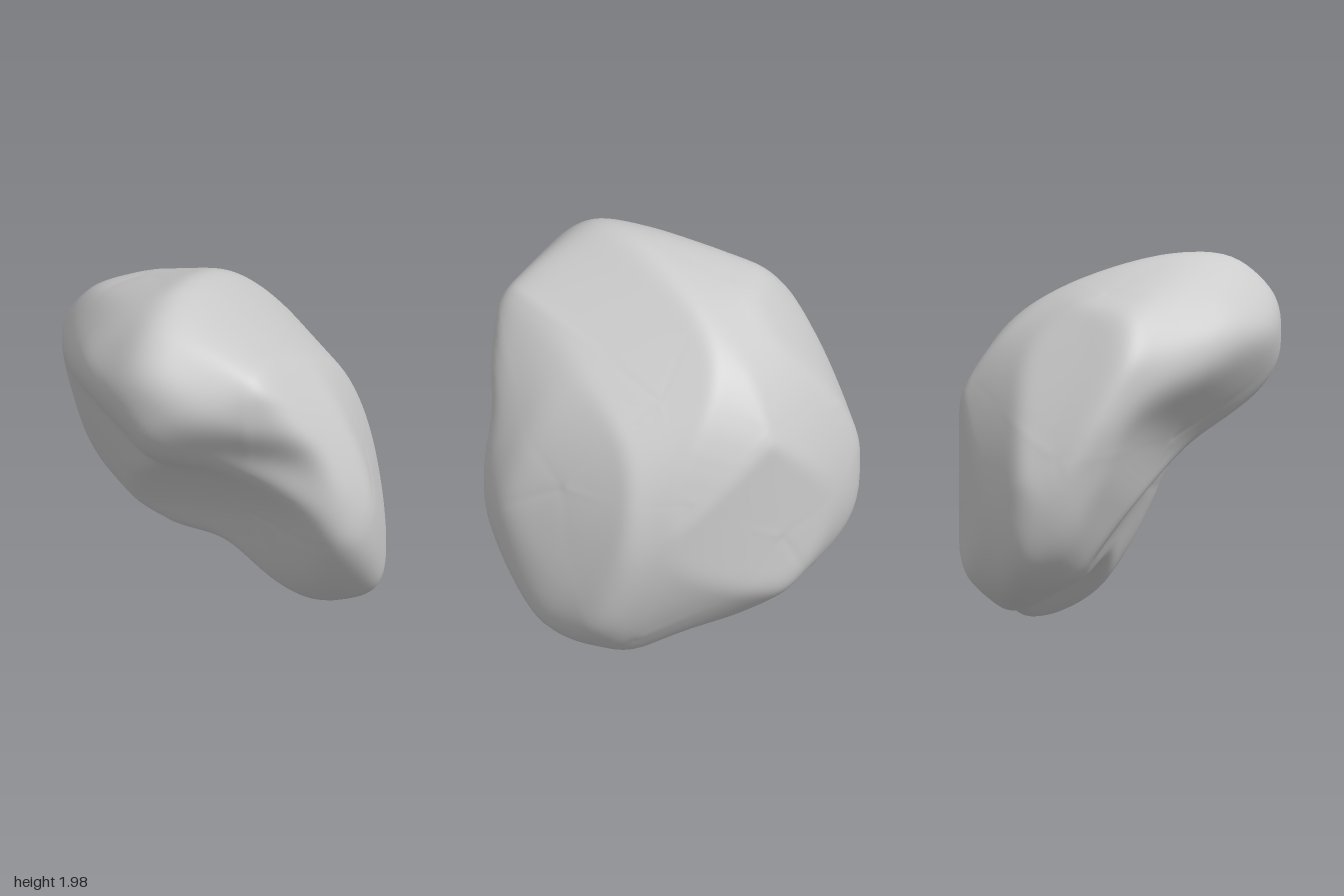
import * as THREE from 'three';
import { mergeVertices } from 'three/addons/utils/BufferGeometryUtils.js';

// A few (across, up) knots per outline of the stone, and the turn about y
// and tilt, in degrees, of the plane each outline lies in.
const OUTLINES = [
  { turn: 0, tilt: 0, knots: [-.3, 1, .15, .81, .55, .4, .78, -.2, .8, -.8, .5, -1, -.12, -.83,
    -.62, -.52, -.79, -.05, -.83, .57] },
  { turn: 90, tilt: 0, knots: [-.55, 1, 0, .95, .6, .57, .88, -.1, .84, -.6, .6, -.84, 0, -1,
    -.7, -.3, -.74, .22, -.91, .57] },
  { turn: 0, tilt: 90, knots: [-.52, .9, .2, .74, .79, .22, .82, -.3, .66, -.67, -.2, -.9,
    -.64, -.68, -.83, -.1, -.78, .7] },
  { turn: 38, tilt: 20, knots: [-.93, .5, -.6, .88, .2, .83, .6, .42, .76, -.69, .42, -1.06,
    .1, -.87, -.15, -.35, -.44, -.05, -.82, .16] },
  { turn: 218, tilt: 20, knots: [.61, 1.01, .93, .67, .78, .33, .47, -.02, .3, -.44, .09, -.82,
    -.27, -1.01, -.63, -.71, -.76, -.12, -.53, .41] },
  { turn: 142, tilt: -30, knots: [.24, .82, .84, .39, 1.04, -.07, .89, -.41, .45, -.56, -.03, -.56,
    -.43, -.73, -.81, -.56, -.94, -.22, -.61, .42] },
];

// Core point from which the whole surface can be reached in straight lines.
const CORE = new THREE.Vector3(0.09, 0.04, -0.22);

// Returns a function giving the distance from the core to an outline's prism.
function prism({ turn, tilt, knots }) {
  const a = THREE.MathUtils.degToRad(turn), e = THREE.MathUtils.degToRad(tilt);
  const across = new THREE.Vector3(Math.cos(a), 0, -Math.sin(a));
  const up = new THREE.Vector3(-Math.sin(e) * Math.sin(a), Math.cos(e), -Math.sin(e) * Math.cos(a));
  const corners = [];
  for (let i = 0; i < knots.length; i += 2) corners.push(new THREE.Vector3(knots[i], knots[i + 1], 0));
  const loop = new THREE.CatmullRomCurve3(corners, true).getPoints(90);
  const cx = CORE.dot(across), cy = CORE.dot(up);
  return (dir) => {
    const dx = dir.dot(across), dy = dir.dot(up);
    let far = 0;
    for (let i = 0; i < loop.length - 1; i++) {
      const px = loop[i].x - cx, py = loop[i].y - cy;
      const ex = loop[i + 1].x - loop[i].x, ey = loop[i + 1].y - loop[i].y;
      const det = dx * ey - dy * ex;
      if (Math.abs(det) < 1e-12) continue;
      const t = (px * ey - py * ex) / det;
      const s = (px * dy - py * dx) / det;
      if (t > 0 && s >= -1e-6 && s <= 1 + 1e-6) far = Math.max(far, t);
    }
    return far || Infinity;
  };
}

// Moves each value towards (or, if negative, away from) its neighbours' mean.
function relax(values, index, amount) {
  const sum = new Float32Array(values.length), count = new Float32Array(values.length);
  for (let i = 0; i < index.count; i++) {
    const p = index.getX(i), q = index.getX(i % 3 === 2 ? i - 2 : i + 1);
    sum[p] += values[q];
    count[p]++;
  }
  for (let i = 0; i < values.length; i++) values[i] += amount * (sum[i] / count[i] - values[i]);
}

export function createModel() {
  const group = new THREE.Group();
  group.name = 'stone';

  // Even ball of shared vertices
  const ball = new THREE.IcosahedronGeometry(1, 40);
  ball.deleteAttribute('normal');
  ball.deleteAttribute('uv');
  const geo = mergeVertices(ball, 1e-5);

  // Push every vertex out to the nearest prism
  const pos = geo.attributes.position;
  const prisms = OUTLINES.map(prism);
  const dir = new THREE.Vector3();
  const radii = new Float32Array(pos.count);
  for (let i = 0; i < pos.count; i++) {
    dir.fromBufferAttribute(pos, i);
    radii[i] = Math.min(...prisms.map((reach) => reach(dir)));
  }

  // Soften the seams while keeping the volume
  for (let k = 0; k < 24; k++) {
    relax(radii, geo.index, 0.6);
    relax(radii, geo.index, -0.4);
  }
  for (let i = 0; i < pos.count; i++) {
    dir.fromBufferAttribute(pos, i).multiplyScalar(radii[i]).add(CORE);
    pos.setXYZ(i, dir.x, dir.y, dir.z);
  }

  // Stand it on the ground
  geo.computeBoundingBox();
  geo.translate(0, -geo.boundingBox.min.y, 0);
  geo.computeVertexNormals();

  const body = new THREE.Mesh(geo, new THREE.MeshStandardMaterial({ color: 0xcccccc }));
  body.name = 'curvedStone';
  group.add(body);
  return group;
}
